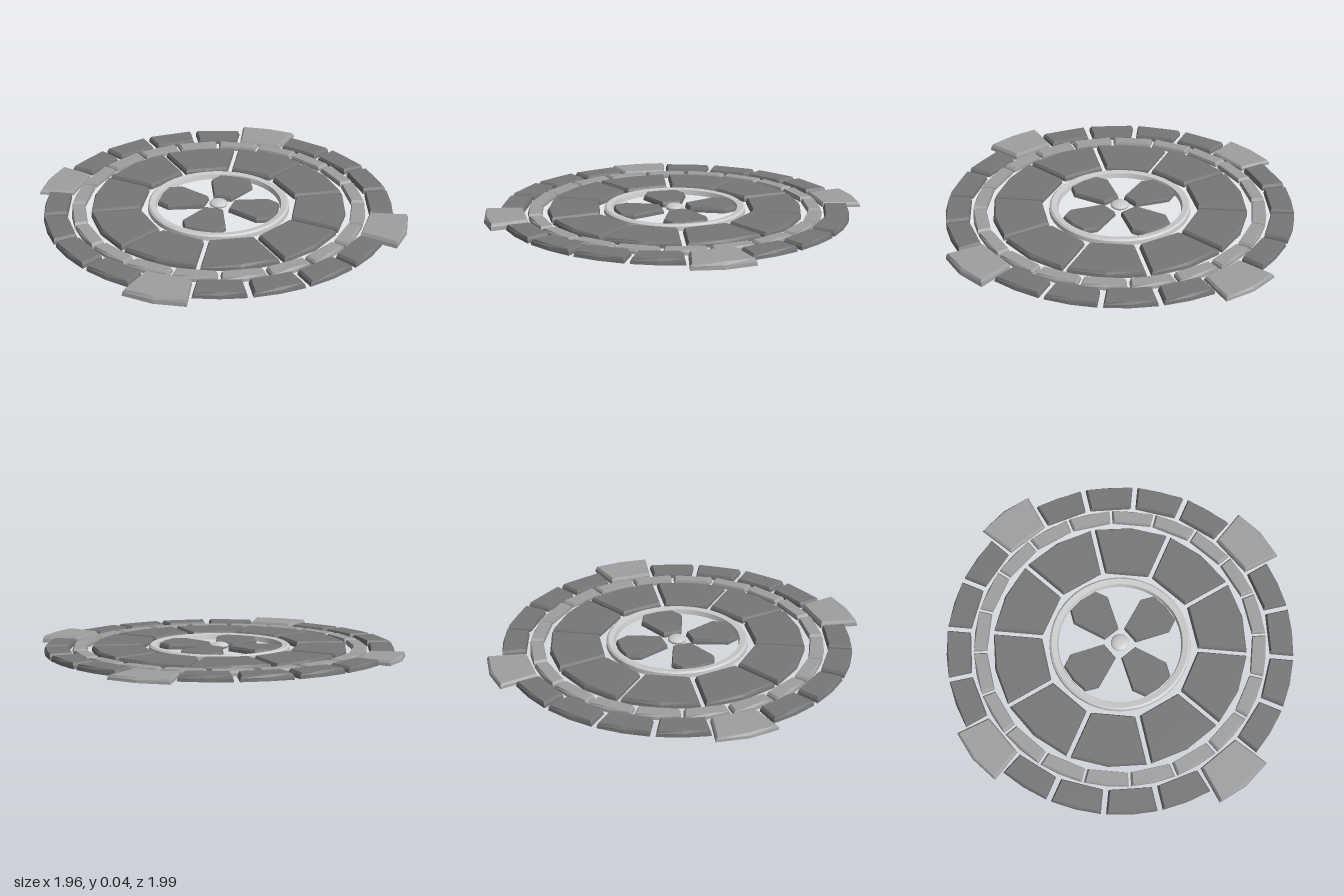
import * as THREE from 'three';

const darkStone = new THREE.MeshStandardMaterial({ color: 0x777777, flatShading: true });
const lightStone = new THREE.MeshStandardMaterial({ color: 0xa0a0a0, flatShading: true });
const metal = new THREE.MeshStandardMaterial({ color: 0xcccccc });

// Chamfered slab from a convex outline of [radius, sideways] pairs,
// turned by an angle measured clockwise from the back (-z).
function slab(name, outline, angle, height, chamfer, material) {
  const s = Math.sin(angle), c = Math.cos(angle);
  const base = outline.map(([r, u]) => new THREE.Vector3(r * s + u * c, 0, -r * c + u * s));
  const centre = new THREE.Vector3();
  base.forEach((p) => centre.addScaledVector(p, 1 / base.length));
  const level = (y, inset) => base.map((p) => {
    const toCentre = centre.clone().sub(p).setLength(inset);
    return p.clone().add(toCentre).setY(y);
  });
  const loops = [level(0, 0), level(height * 0.55, chamfer * 0.25), level(height, chamfer)];
  const points = [];
  const n = base.length;
  for (let i = 0; i < n; i++) {
    const j = (i + 1) % n;
    for (let k = 0; k < 2; k++) {
      const lo = loops[k], hi = loops[k + 1];
      points.push(lo[i], lo[j], hi[j], lo[i], hi[j], hi[i]);
    }
    points.push(centre.clone().setY(height), loops[2][i], loops[2][j]);
    points.push(centre, loops[0][j], loops[0][i]);
  }
  const geometry = new THREE.BufferGeometry().setFromPoints(points);
  geometry.computeVertexNormals();
  const mesh = new THREE.Mesh(geometry, material);
  mesh.name = name;
  return mesh;
}

// Outline of one ring stone: straight inner edge, two-part outer edge
function wedge(inner, outer, step, gap) {
  const corner = (r, side) => {
    const a = side * (step / 2 - gap / (2 * r));
    return [r * Math.cos(a), r * Math.sin(a)];
  };
  return [corner(inner, -1), corner(inner, 1), corner(outer, 1), [outer, 0], corner(outer, -1)];
}

// Ring of equal stones; skip leaves out every skip-th one
function stoneRing(name, { count, inner, outer, gap, offset, height, material, skip = 0 }) {
  const ring = new THREE.Group();
  ring.name = name;
  const step = (Math.PI * 2) / count;
  const outline = wedge(inner, outer, step, gap);
  for (let i = 0; i < count; i++) {
    if (skip && i % skip === 0) continue;
    ring.add(slab(name + 'Stone', outline, offset + i * step, height, 0.012, material));
  }
  return ring;
}

export function createModel() {
  const model = new THREE.Group();
  model.name = 'stoneRosette';
  const deg = Math.PI / 180;

  // Three concentric rings of paving stones
  model.add(stoneRing('outerRing', {
    count: 20, inner: 0.785, outer: 0.908, gap: 0.026, offset: 0, height: 0.03, material: darkStone, skip: 5,
  }));
  model.add(stoneRing('narrowRing', {
    count: 20, inner: 0.695, outer: 0.765, gap: 0.012, offset: 9 * deg, height: 0.025, material: lightStone,
  }));
  model.add(stoneRing('wideRing', {
    count: 10, inner: 0.408, outer: 0.665, gap: 0.022, offset: 9 * deg, height: 0.03, material: darkStone,
  }));

  // Four projecting keystones and four petals
  const tips = [0.995, 0.992, 0.992, 0.972];
  const keyHeights = [0.024, 0.035, 0.035, 0.024];
  const petal = [
    [0.068, -0.048], [0.068, 0.048], [0.24, 0.117], [0.307, 0.086], [0.318, 0], [0.307, -0.086], [0.24, -0.117],
  ];
  for (let i = 0; i < 4; i++) {
    const tip = tips[i];
    const keystone = [[0.775, -0.117], [0.775, 0.117], [tip - 0.022, 0.158], [tip, 0], [tip - 0.022, -0.158]];
    model.add(slab('keystone', keystone, i * 90 * deg, keyHeights[i], 0.014, lightStone));
    model.add(slab('petal', petal, i * 90 * deg, 0.028, 0.008, darkStone));
  }

  // Thin band around the petals, one lathe strip per face to keep its edges sharp
  const band = new THREE.Group();
  band.name = 'centreBand';
  const profile = [[0.322, 0], [0.37, 0], [0.368, 0.022], [0.358, 0.03], [0.328, 0.026], [0.322, 0]];
  for (let i = 0; i < profile.length - 1; i++) {
    const strip = [profile[i], profile[i + 1]].map(([r, y]) => new THREE.Vector2(r, y));
    const mesh = new THREE.Mesh(new THREE.LatheGeometry(strip, 48), metal);
    mesh.name = 'bandFace';
    band.add(mesh);
  }
  model.add(band);

  // Flattened boss in the middle
  const boss = new THREE.Mesh(new THREE.SphereGeometry(0.048, 24, 16), metal);
  boss.name = 'centreBoss';
  boss.scale.y = 0.4;
  boss.position.y = 0.0192;
  model.add(boss);

  model.position.set(-0.01, 0, -0.003);
  const root = new THREE.Group();
  root.name = 'floorRosette';
  root.add(model);
  return root;
}
